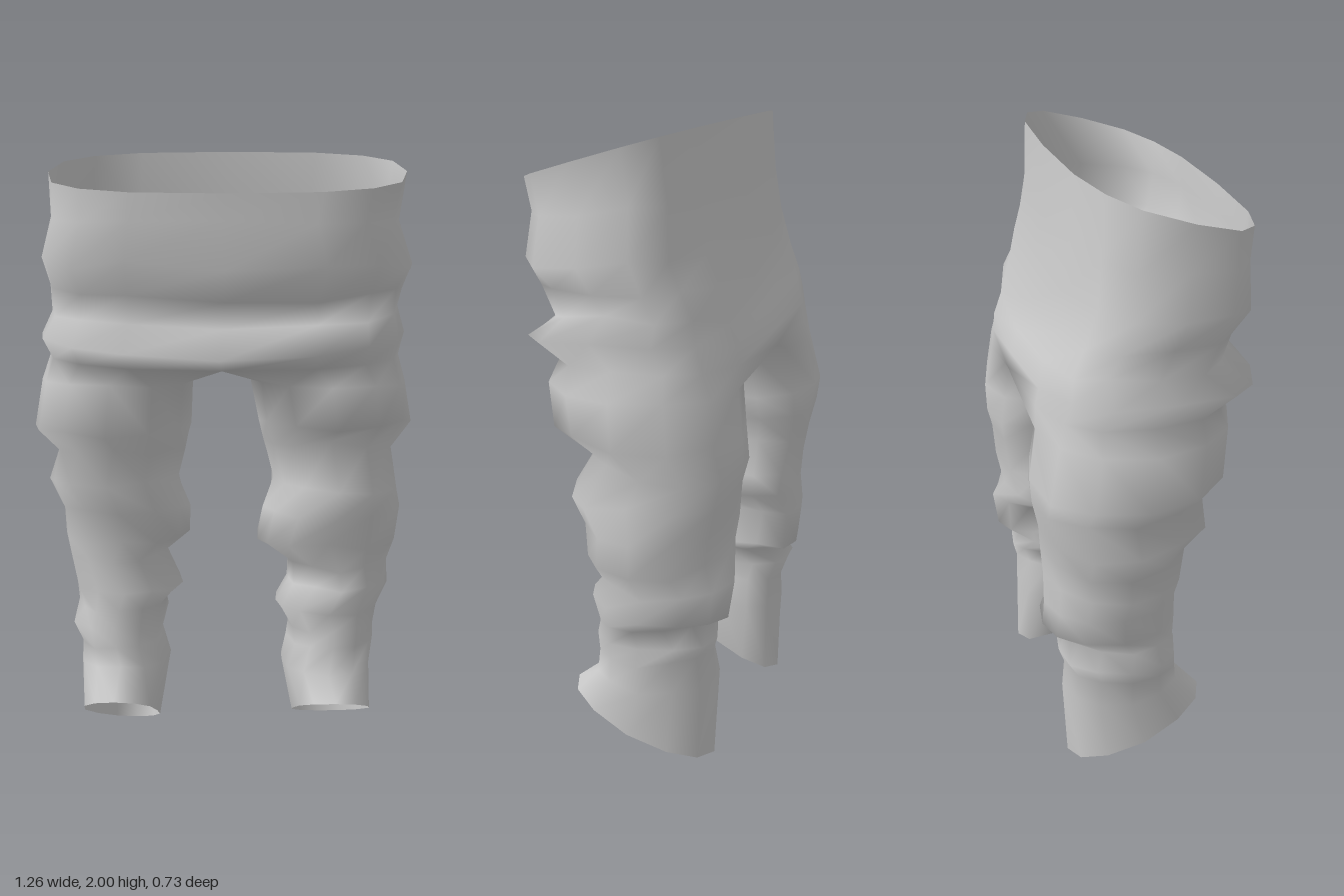
import * as THREE from 'three';

const HIP_N = 16; // points around the hips
const LEG_N = 12; // points around each leg

// hip rows: y front, y back, right x, left x, z front, z back, lift at the sides, wrinkle
const HIP_ROWS = [
  [1.835, 2.0, -0.555, 0.58, 0.34, -0.21, 0, 0],
  [1.75, 1.80, -0.555, 0.56, 0.335, -0.225, 0, 0.006],
  [1.62, 1.66, -0.59, 0.61, 0.33, -0.25, 0, 0.01],
  [1.52, 1.54, -0.565, 0.58, 0.29, -0.275, 0.03, 0.01],
  [1.43, 1.44, -0.57, 0.575, 0.25, -0.31, 0.05, 0.008],
  [1.345, 1.37, -0.59, 0.58, 0.37, -0.335, 0.05, 0.006],
  [1.30, 1.31, -0.575, 0.575, 0.25, -0.345, 0.03, 0],
];

// leg rows: y front, y back, inner x, outer x, z front, z back, wrinkle
const LEFT_ROWS = [
  [1.25, 1.25, 0.09, 0.60, 0.24, -0.335, 0.005],
  [1.12, 1.10, 0.11, 0.62, 0.22, -0.355, 0.01],
  [1.05, 1.00, 0.13, 0.575, 0.10, -0.36, 0.012],
  [0.90, 0.92, 0.165, 0.585, 0.17, -0.345, 0.012],
  [0.80, 0.82, 0.14, 0.59, 0.12, -0.335, 0.012],
  [0.71, 0.71, 0.11, 0.58, 0.12, -0.315, 0.012],
  [0.63, 0.64, 0.22, 0.55, 0.08, -0.34, 0.01],
  [0.57, 0.53, 0.22, 0.56, 0.11, -0.335, 0.008],
  [0.48, 0.505, 0.17, 0.53, 0.09, -0.25, 0.008],
  [0.42, 0.44, 0.22, 0.51, 0.10, -0.29, 0.008],
  [0.36, 0.39, 0.22, 0.51, 0.10, -0.27, 0.008],
  [0.28, 0.27, 0.20, 0.50, 0.11, -0.28, 0.005],
  [0.21, 0.02, 0.24, 0.50, 0.19, -0.28, 0],
];
const RIGHT_ROWS = [
  [1.25, 1.25, 0.10, 0.60, 0.25, -0.335, 0.005],
  [1.09, 1.08, 0.11, 0.625, 0.22, -0.365, 0.01],
  [1.03, 1.00, 0.13, 0.57, 0.165, -0.36, 0.01],
  [0.92, 0.90, 0.15, 0.59, 0.17, -0.345, 0.012],
  [0.82, 0.81, 0.12, 0.55, 0.12, -0.33, 0.012],
  [0.72, 0.73, 0.12, 0.54, 0.11, -0.315, 0.008],
  [0.66, 0.64, 0.20, 0.53, 0.09, -0.33, 0.01],
  [0.55, 0.53, 0.15, 0.50, 0.11, -0.335, 0.008],
  [0.48, 0.505, 0.20, 0.49, 0.09, -0.25, 0.008],
  [0.43, 0.44, 0.20, 0.52, 0.10, -0.29, 0.008],
  [0.36, 0.37, 0.215, 0.49, 0.10, -0.26, 0.006],
  [0.30, 0.27, 0.19, 0.49, 0.11, -0.27, 0.005],
  [0.21, 0.0, 0.23, 0.48, 0.19, -0.26, 0],
];

// Repeatable wrinkle offset in -1..1
const crease = (row, i, seed) => {
  const s = Math.sin(row * 12.99 + i * 78.23 + seed * 37.7) * 43758.55;
  return (s - Math.floor(s)) * 2 - 1;
};

const soften = (v, p) => Math.sign(v) * Math.pow(Math.abs(v), p);

// Rounded-box outline; angle runs from the front (+z) round to the left (+x)
function ringPoint(angle, x0, x1, zf, zb, yf, yb, power) {
  const s = soften(Math.sin(angle), power);
  const c = soften(Math.cos(angle), power);
  return [
    (x0 + x1) / 2 + (s * (x1 - x0)) / 2,
    (yf + yb) / 2 + (c * (yf - yb)) / 2,
    (zf + zb) / 2 + (c * (zf - zb)) / 2,
  ];
}

// Joins successive rows of vertex numbers into a closed tube
function skin(rows, flip) {
  const index = [];
  for (let r = 0; r < rows.length - 1; r++) {
    const n = rows[r].length;
    for (let i = 0; i < n; i++) {
      const j = (i + 1) % n;
      const a = rows[r][i], b = rows[r][j], c = rows[r + 1][i], d = rows[r + 1][j];
      if (flip) index.push(a, b, c, b, d, c);
      else index.push(a, c, b, b, c, d);
    }
  }
  return index;
}

export function createModel() {
  const points = [];
  const add = (x, y, z) => points.push(x, y, z) / 3 - 1;

  // Hips: waist opening down to the overhanging front fold and the seat
  const hipRows = HIP_ROWS.map(([yf, yb, x0, x1, zf, zb, lift, w], r) =>
    Array.from({ length: HIP_N }, (_, i) => {
      const angle = (i / HIP_N) * Math.PI * 2;
      const [x, y, z] = ringPoint(angle, x0, x1, zf, zb, yf, yb, 0.7);
      const k = crease(r, i, 1) * w;
      const raise = lift * Math.sin(angle) ** 2 + crease(r, i, 2) * w * 1.5;
      return add(x + Math.sin(angle) * k, y + raise, z + Math.cos(angle) * k);
    }));

  // Crotch strip, shared by both legs, from back to front
  const crotch = [[1.31, -0.2], [1.315, -0.03], [1.31, 0.13]].map(([y, z]) => add(0, y, z));
  const hem = hipRows[hipRows.length - 1];

  // Each leg starts from half of the last hip row plus the crotch strip
  function legRows(table, side, seed) {
    const top = [];
    for (let i = 0; i <= HIP_N / 2; i++) top.push(hem[(side * i + HIP_N) % HIP_N]);
    top.push(...crotch);
    const rows = table.map(([yf, yb, xi, xo, zf, zb, w], r) =>
      Array.from({ length: LEG_N }, (_, i) => {
        const angle = ((i - 1) / LEG_N) * Math.PI * 2;
        const [x, y, z] = ringPoint(angle, xi, xo, zf, zb, yf, yb, 0.92);
        const k = crease(r, i, seed) * w;
        // the back of the leg sits a little nearer the middle
        const inward = 0.035 * Math.min(Math.cos(angle), 0);
        return add(
          side * (x + inward + Math.sin(angle) * k),
          y + crease(r, i, seed + 1) * w * 1.3,
          z + Math.cos(angle) * k,
        );
      }));
    return [top, ...rows];
  }

  const parts = {
    hips: skin(hipRows, false),
    leftLeg: skin(legRows(LEFT_ROWS, 1, 3), false),
    rightLeg: skin(legRows(RIGHT_ROWS, -1, 6), true),
  };

  // Normals are worked out over the whole garment so the cloth runs on smoothly
  const whole = new THREE.BufferGeometry();
  whole.setAttribute('position', new THREE.Float32BufferAttribute(points, 3));
  whole.setIndex(Object.values(parts).flat());
  whole.computeVertexNormals();

  const cloth = new THREE.MeshStandardMaterial({ color: 0xcccccc, side: THREE.DoubleSide });
  const group = new THREE.Group();
  group.name = 'trousers';
  for (const [name, index] of Object.entries(parts)) {
    const geometry = new THREE.BufferGeometry();
    geometry.setAttribute('position', whole.getAttribute('position'));
    geometry.setAttribute('normal', whole.getAttribute('normal'));
    geometry.setIndex(index);
    const mesh = new THREE.Mesh(geometry, cloth);
    mesh.name = name;
    group.add(mesh);
  }
  return group;
}
